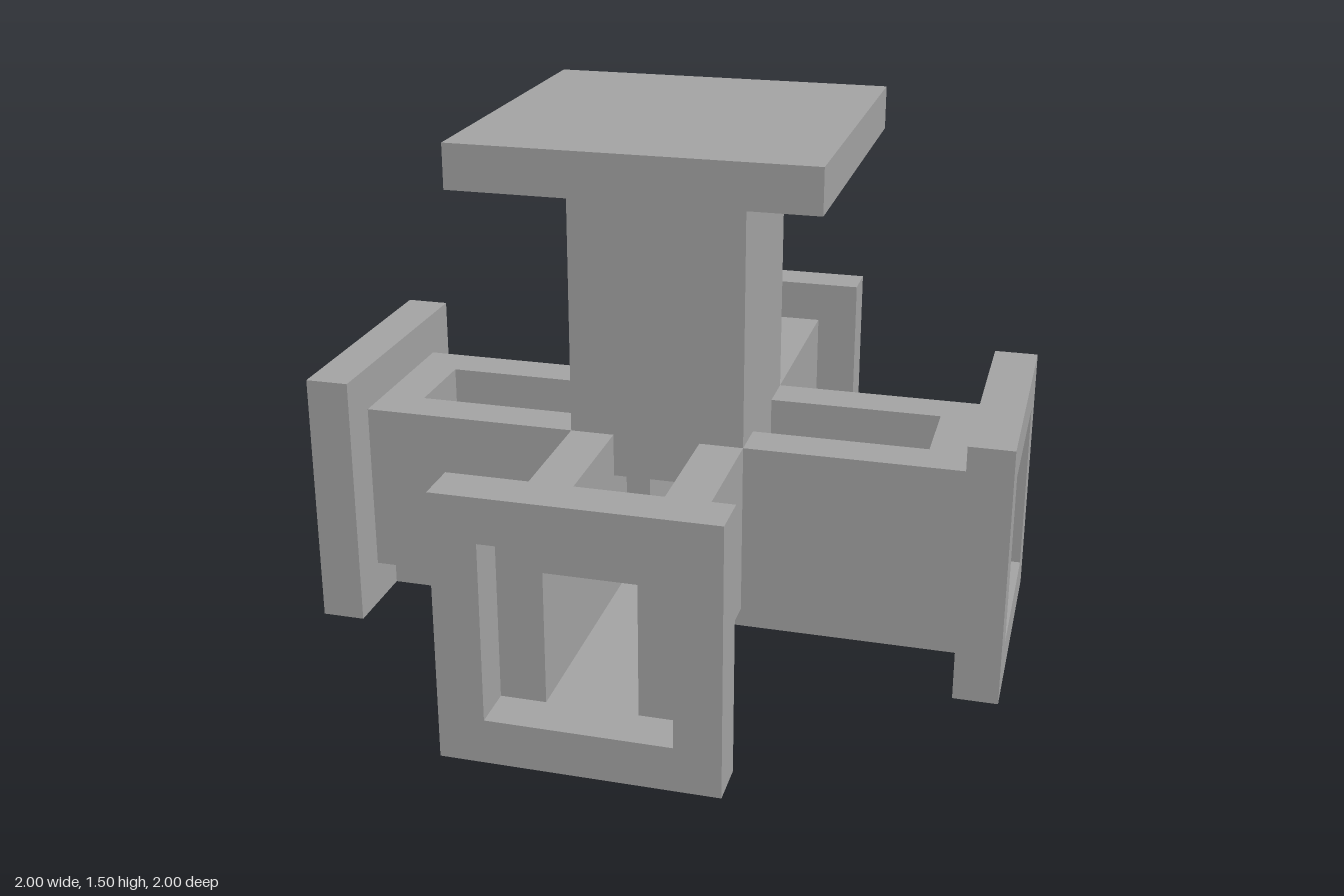
import * as THREE from 'three';

const grey = new THREE.MeshStandardMaterial({ color: 0xa2a2a2 });
grey.name = 'stone grey';

// Box given by its minimum and maximum corners
function block(name, [x0, y0, z0], [x1, y1, z1]) {
  const geometry = new THREE.BoxGeometry(x1 - x0, y1 - y0, z1 - z0);
  geometry.translate((x0 + x1) / 2, (y0 + y1) / 2, (z0 + z1) / 2);
  const mesh = new THREE.Mesh(geometry, grey);
  mesh.name = name;
  return mesh;
}

// Upright plate 0.125 thick, cut from an outline with an optional hole
function plate(name, outline, hole, z) {
  const points = (list) => list.map(([x, y]) => new THREE.Vector2(x, y));
  const shape = new THREE.Shape(points(outline));
  if (hole) shape.holes.push(new THREE.Path(points(hole)));
  const geometry = new THREE.ExtrudeGeometry(shape, { depth: 0.125, bevelEnabled: false });
  geometry.translate(0, 0, z);
  const mesh = new THREE.Mesh(geometry, grey);
  mesh.name = name;
  return mesh;
}

const rect = (w, y0, y1) => [[-w, y0], [w, y0], [w, y1], [-w, y1]];

// One open-topped channel pointing along +z
function createArm() {
  const arm = new THREE.Group();
  arm.add(block('armFloor', [-0.125, 0, 0.125], [0.125, 0.125, 0.875]));
  for (const x of [-0.25, 0.125]) {
    arm.add(block('armWall', [x, 0.125, 0.25], [x + 0.125, 0.625, 0.75]));
  }
  // Inner doorway, then the wide square flange
  arm.add(plate('doorway', [
    [-0.25, 0.125], [-0.125, 0.125], [-0.125, 0.5], [0.125, 0.5],
    [0.125, 0.125], [0.25, 0.125], [0.25, 0.625], [-0.25, 0.625],
  ], null, 0.75));
  arm.add(plate('endFlange', rect(0.375, 0, 0.75), rect(0.25, 0.125, 0.625), 0.875));
  // Corner post where this arm meets the next
  arm.add(block('cornerPost', [0.125, 0.125, 0.125], [0.25, 0.5, 0.25]));
  return arm;
}

export function createModel() {
  const model = new THREE.Group();
  model.name = 'crossBase';

  const names = ['frontArm', 'leftArm', 'backArm', 'rightArm'];
  names.forEach((name, i) => {
    const arm = createArm();
    arm.name = name;
    arm.rotation.y = (i * Math.PI) / 2;
    model.add(arm);
  });

  // Centre floor, column and top slab
  model.add(block('centreFloor', [-0.125, 0, -0.125], [0.125, 0.125, 0.125]));
  model.add(block('column', [-0.25, 0.5, -0.25], [0.25, 1.375, 0.25]));
  model.add(block('topSlab', [-0.5, 1.375, -0.5], [0.5, 1.5, 0.5]));
  return model;
}
